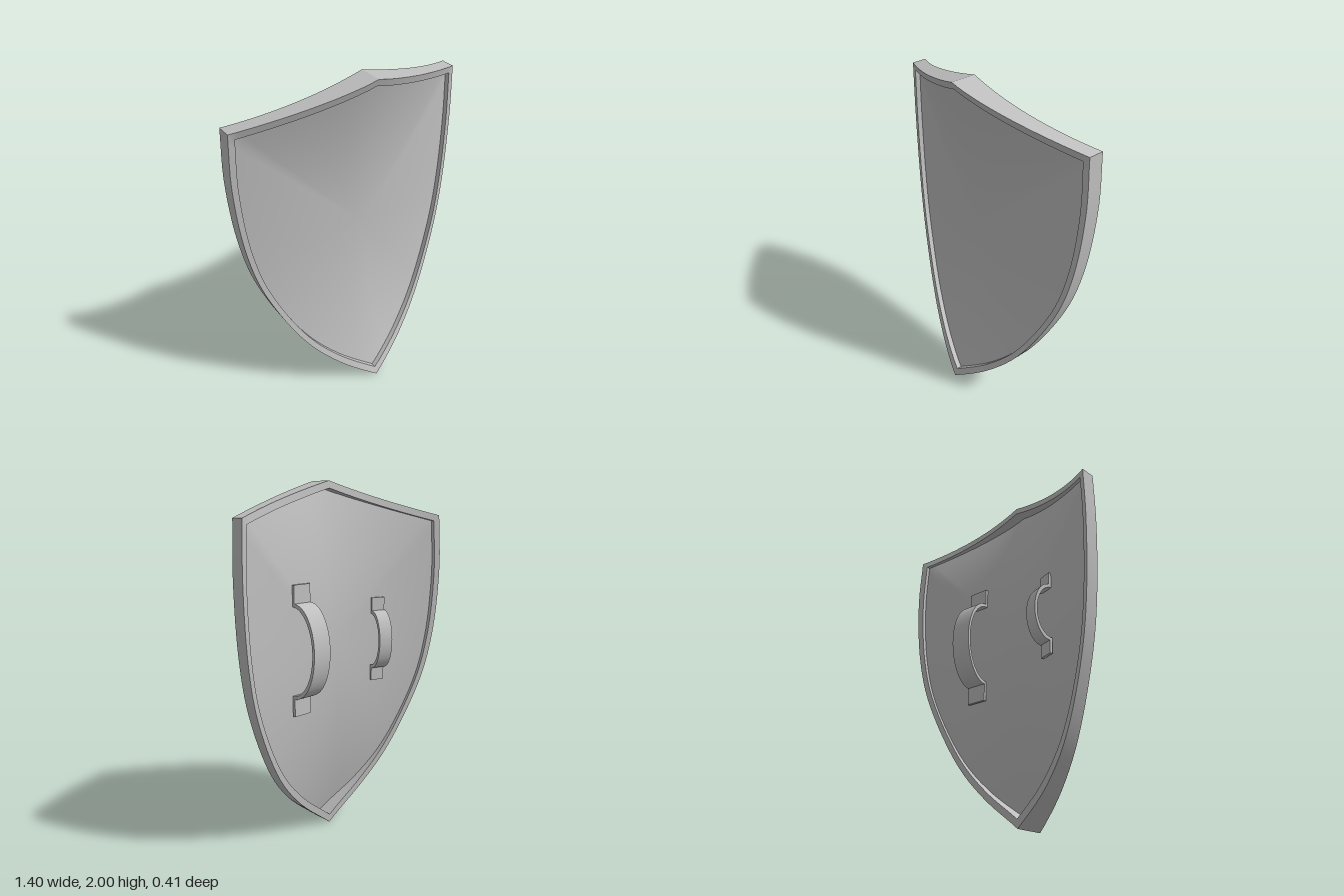
import * as THREE from 'three';
import { toCreasedNormals } from 'three/addons/utils/BufferGeometryUtils.js';

const V = (x, y, z = 0) => new THREE.Vector3(x, y, z);
const CENTRE_Y = 1.1;
const INSET = 0.955;

// Half outline from the bottom tip up the side, then along the straight top edge.
// Each point carries the height of the rim's front and back edges.
function makeOutline() {
  const side = new THREE.CatmullRomCurve3([
    V(0, 0), V(0.23, 0.185), V(0.41, 0.4), V(0.6, 0.8), V(0.67, 1.1), V(0.7, 1.5), V(0.69, 1.81),
  ]).getSpacedPoints(36).map((p) => ({
    x: p.x, y: p.y, front: 0.2 - 0.28 * Math.pow(Math.max(p.x, 0) / 0.7, 1.2),
  }));
  const top = [];
  for (let i = 1; i <= 16; i++) {
    const x = 0.69 * (1 - i / 16);
    top.push({ x, y: 2 - 0.19 * (x / 0.69), front: 0.17 - 0.245 * Math.pow(x / 0.69, 1.5) });
  }
  const half = [...side, ...top];
  half.forEach((p) => { p.back = 0.03 - 0.4 * p.x * p.x; });
  const mirrored = half.slice(1, -1).reverse().map((p) => ({ ...p, x: -p.x }));
  return [...half, ...mirrored];
}

// Skin a list of closed rings with equal point counts
function loft(rings) {
  const n = rings[0].length;
  const index = [];
  for (let r = 0; r < rings.length - 1; r++) {
    for (let i = 0; i < n; i++) {
      const a = r * n + i, b = r * n + ((i + 1) % n);
      index.push(a, b, b + n, a, b + n, a + n);
    }
  }
  const geo = new THREE.BufferGeometry().setFromPoints(rings.flat());
  geo.setIndex(index);
  return toCreasedNormals(geo, 0.5);
}

// Strap with a bowed grip and a flat tab at each end
function strapGeometry(radius, depth, width, tab) {
  const t = 0.016;
  const s = new THREE.Shape();
  s.moveTo(-radius - tab, 0);
  s.lineTo(-radius - tab, t);
  s.lineTo(-radius, t);
  s.absellipse(0, t, radius, depth - t, Math.PI, 0, true);
  s.lineTo(radius + tab, t);
  s.lineTo(radius + tab, 0);
  s.lineTo(radius - t, 0);
  s.absellipse(0, 0, radius - t, depth - t, 0, Math.PI, false);
  s.lineTo(-radius - tab, 0);
  const geo = new THREE.ExtrudeGeometry(s, { depth: width, bevelEnabled: false, curveSegments: 28 });
  geo.translate(0, 0, -width / 2);
  geo.applyMatrix4(new THREE.Matrix4().makeBasis(V(0, 1, 0), V(0, 0, -1), V(-1, 0, 0)));
  return toCreasedNormals(geo, 0.5);
}

export function createModel() {
  const group = new THREE.Group();
  const steel = new THREE.MeshStandardMaterial({ color: 0xbfbfbf });
  steel.name = 'steel grey';
  const add = (name, geo) => {
    const mesh = new THREE.Mesh(geo, steel);
    mesh.name = name;
    group.add(mesh);
    return mesh;
  };

  const outline = makeOutline();
  const frontMid = 0.005, backMid = -0.02;
  const sx = (p, t) => p.x * t;
  const sy = (p, t) => CENTRE_Y + (p.y - CENTRE_Y) * t;
  const bend = (z, mid, t) => mid + (z - mid) * t * t;
  const innerFront = (p) => bend(p.front, frontMid, INSET);

  // Raised rim: front face, inner wall, back face, outer wall
  const outerF = outline.map((p) => V(p.x, p.y, p.front));
  const innerF = outline.map((p) => V(sx(p, INSET), sy(p, INSET), innerFront(p)));
  const innerB = outline.map((p) => V(sx(p, INSET), sy(p, INSET), bend(p.back, backMid, INSET)));
  const outerB = outline.map((p) => V(p.x, p.y, p.back));
  add('rim', loft([outerF, innerF, innerB, outerB, outerF]));

  // Curved panel, recessed behind the rim and bowed toward its middle
  const panelRing = (k, mid, drop) => outline.map((p) =>
    V(sx(p, INSET * k), sy(p, INSET * k), bend(innerFront(p) - drop, mid, k)));
  const frontRings = [], backRings = [];
  for (let i = 0; i <= 20; i++) {
    frontRings.push(panelRing(1 - i / 20, frontMid, 0.03));
    backRings.push(panelRing(i / 20, backMid, 0.06));
  }
  add('frontPanel', loft(frontRings));
  add('backPanel', loft(backRings));

  // Arm strap and smaller hand grip on the back
  const arm = add('armStrap', strapGeometry(0.26, 0.165, 0.122, 0.1));
  arm.position.set(0.255, CENTRE_Y, -0.034);
  arm.rotation.y = 0.12;
  const grip = add('handGrip', strapGeometry(0.17, 0.11, 0.083, 0.075));
  grip.position.set(-0.303, CENTRE_Y, -0.042);
  grip.rotation.y = -0.22;

  return group;
}
